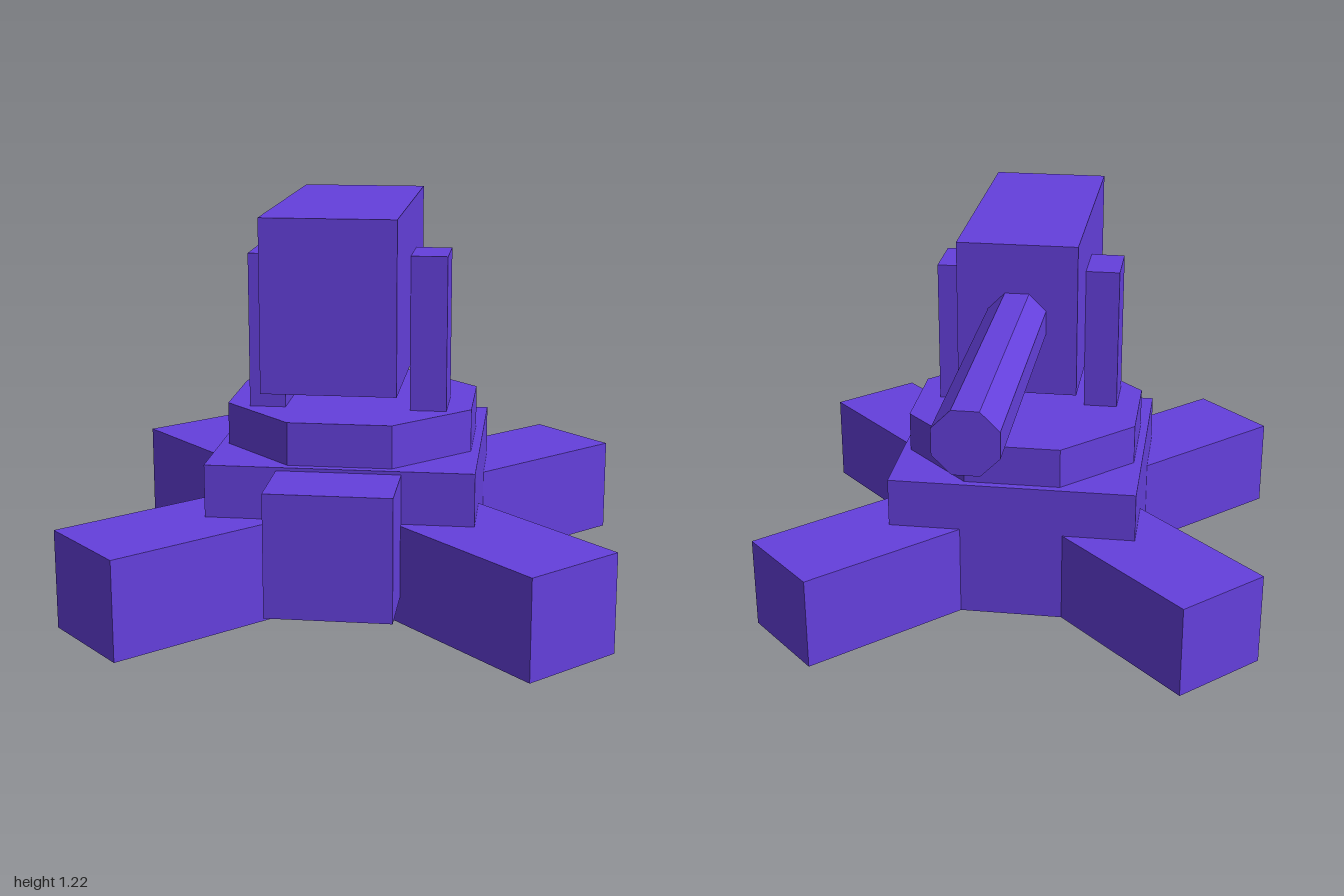
import * as THREE from 'three';

export function createModel() {
  const group = new THREE.Group();
  const violet = new THREE.MeshStandardMaterial({ color: 0x6540dd, flatShading: true });
  violet.name = 'violet';
  const pivotZ = 0.19; // vertical axis of base and turntable

  const add = (name, geometry, x, y, z) => {
    const mesh = new THREE.Mesh(geometry, violet);
    mesh.name = name;
    mesh.position.set(x, y, z);
    group.add(mesh);
    return mesh;
  };
  // Box given by its minimum and maximum corners
  const box = (name, [x0, y0, z0], [x1, y1, z1]) =>
    add(name, new THREE.BoxGeometry(x1 - x0, y1 - y0, z1 - z0),
      (x0 + x1) / 2, (y0 + y1) / 2, (z0 + z1) / 2);
  // Octagonal prism with flat sides facing the axes
  const octagon = (apothem, height) =>
    new THREE.CylinderGeometry(apothem / Math.cos(Math.PI / 8), apothem / Math.cos(Math.PI / 8), height, 8)
      .rotateY(Math.PI / 8);

  // Base block with a control box on the front
  box('base', [-0.4, 0, -0.21], [0.4, 0.46, 0.59]);
  box('controlBox', [-0.185, 0.08, 0.5], [0.185, 0.45, 0.82]);

  // Four diagonal feet
  for (let i = 0; i < 4; i++) {
    const angle = Math.PI / 4 + i * Math.PI / 2;
    const inner = 0.35, outer = 0.977, mid = (inner + outer) / 2;
    const foot = add('foot', new THREE.BoxGeometry(0.33, 0.3, outer - inner),
      Math.sin(angle) * mid, 0.15, pivotZ + Math.cos(angle) * mid);
    foot.rotation.y = angle;
  }

  // Rotating plate
  add('turntable', octagon(0.374, 0.13), 0, 0.525, pivotZ);

  // Side supports holding the housing
  for (const side of [-1, 1]) {
    const arm = box('supportArm', [0.19, 0.59, 0.19], [0.3, 1.06, 0.377]);
    arm.position.x *= side;
  }

  // Housing and barrel pointing backwards
  box('housing', [-0.19, 0.73, -0.065], [0.19, 1.22, 0.79]);
  add('barrel', octagon(0.092, 0.96).rotateX(Math.PI / 2), 0, 0.97, -0.52);

  return group;
}
